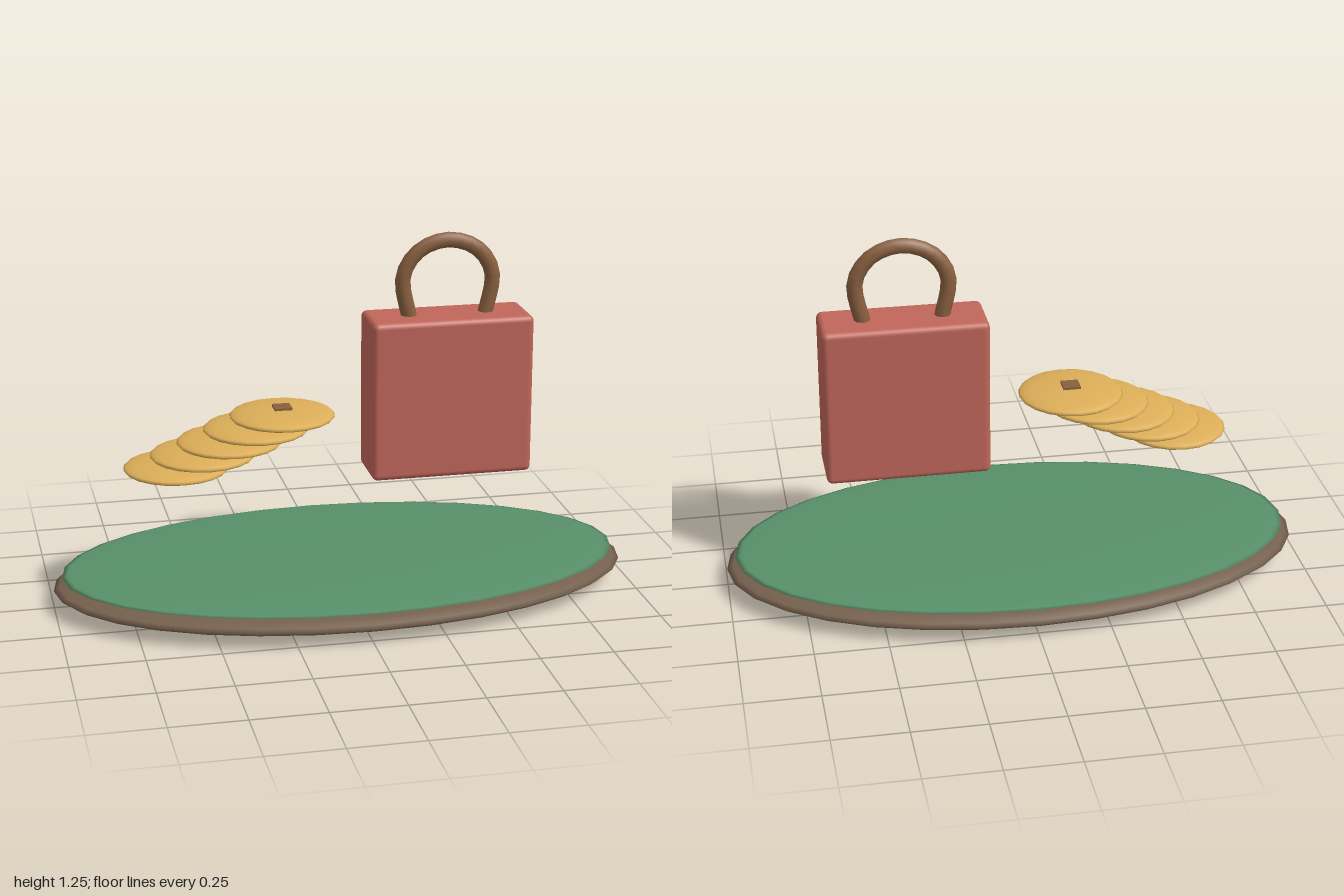
import * as THREE from 'three';
import { RoundedBoxGeometry } from 'three/addons/geometries/RoundedBoxGeometry.js';

const paint = (color) => new THREE.MeshStandardMaterial({ color });

export function createModel() {
  const model = new THREE.Group();
  const wood = paint(0x75604d), felt = paint(0x58906a), gold = paint(0xdcae58);
  const red = paint(0xc0665a), leather = paint(0x8a6040);

  const add = (name, geometry, material, x, y, z = 0) => {
    const mesh = new THREE.Mesh(geometry, material);
    mesh.name = name;
    mesh.position.set(x, y, z);
    model.add(mesh);
    return mesh;
  };
  // Flattened sphere used for the platform layers and the coins
  const disc = (rx, ry, rz, w, h) => new THREE.SphereGeometry(1, w, h).scale(rx, ry, rz);

  // Oval platform with a thin green top layer
  add('platformBase', disc(1, 0.06, 0.545, 32, 16), wood, 0, 0.06);
  add('platformTop', disc(0.97, 0.018, 0.525, 32, 16), felt, 0, 0.105);

  // Slanted row of floating coins, rising to the right
  const coin = disc(0.18, 0.025, 0.18, 20, 12);
  for (let i = 0; i < 5; i++) {
    add('coin' + (i + 1), coin, gold, -0.57 + i * 0.0915, 0.478 + i * 0.04);
  }
  // Square mark in the middle of the top coin
  add('coinSquare', new THREE.BoxGeometry(0.06, 0.02, 0.06), leather, -0.204, 0.66);

  // Bag body with softened edges
  add('bagBody', new RoundedBoxGeometry(0.56, 0.556, 0.21, 3, 0.02), red, 0.37, 0.687);

  // Arched bag handle
  const half = [[-0.13, -0.02], [-0.155, 0.14], [-0.1, 0.225]];
  const points = [
    ...half,
    [0, 0.258],
    ...half.map(([x, y]) => [-x, y]).reverse(),
  ].map(([x, y]) => new THREE.Vector3(x, y, 0));
  const path = new THREE.CatmullRomCurve3(points);
  add('bagHandle', new THREE.TubeGeometry(path, 20, 0.027, 8), leather, 0.37, 0.962);

  return model;
}
